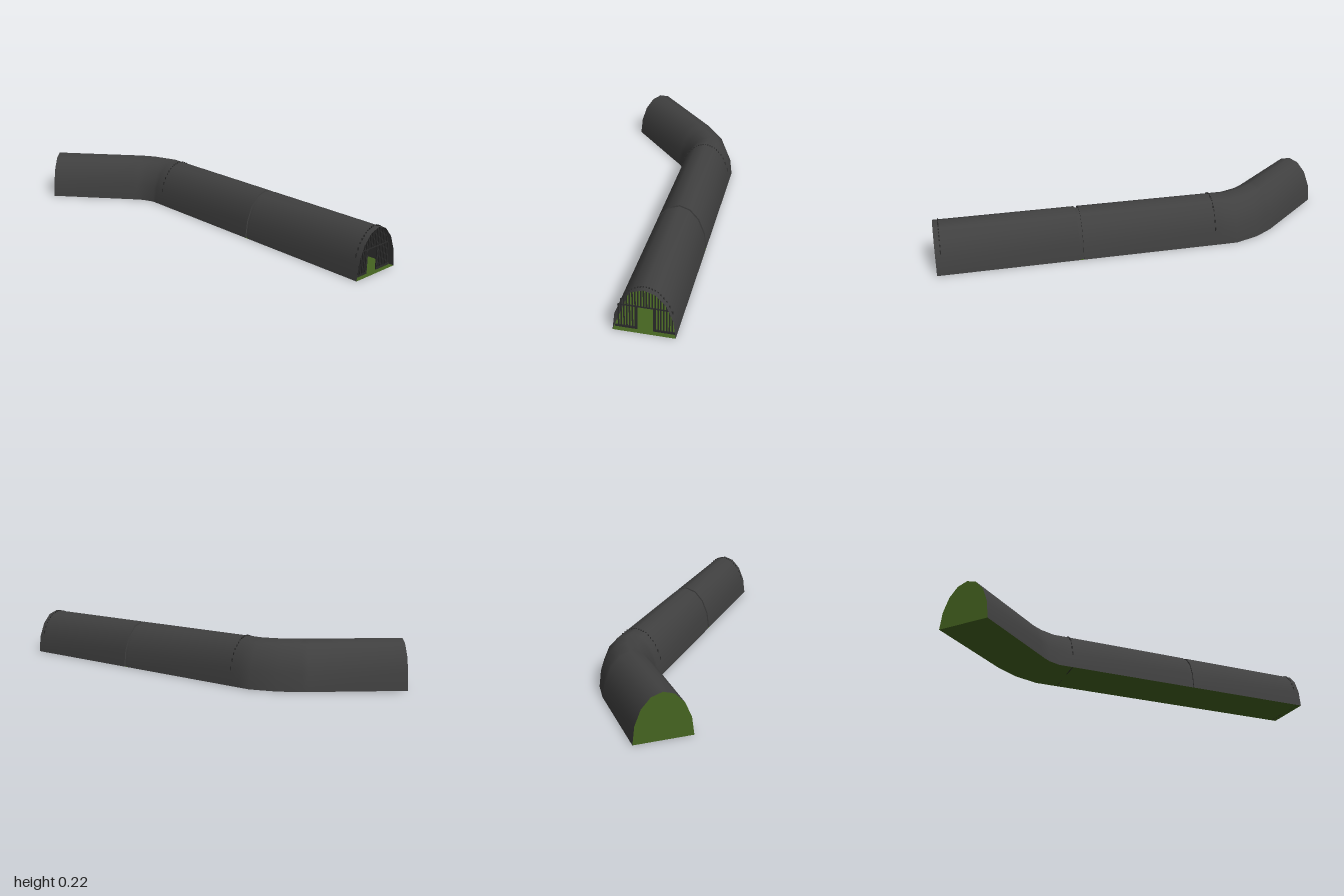
import * as THREE from 'three';

const H = 0.215, CX = 0.174, HALF = 0.131, SEG = 8;

// A cross-section is a pair of ground points: [xA, zA, xB, zB]
const straight = (z, inset = 0) => [CX - HALF + inset, z, CX + HALF - inset, z];
const bend = [
  straight(-0.37), [0.043, -0.39, 0.305, -0.43], [0.021, -0.445, 0.262, -0.55],
  [0, -0.475, 0.2, -0.645], [-0.02, -0.497, 0.182, -0.666], [-0.31, -0.83, -0.11, -1],
];

// Points of the half-ellipse arch standing on one cross-section
function arch([xa, za, xb, zb], height) {
  return Array.from({ length: SEG + 1 }, (_, i) => {
    const a = (i / SEG) * Math.PI, t = (1 - Math.cos(a)) / 2;
    return [xa + (xb - xa) * t, height * Math.sin(a), za + (zb - za) * t];
  });
}

// Skin a list of equally long point rows
function loft(rows) {
  const n = rows[0].length, index = [];
  for (let r = 0; r < rows.length - 1; r++) {
    for (let i = 0; i < n - 1; i++) {
      const a = r * n + i, b = a + 1, c = a + n, d = c + 1;
      index.push(a, b, c, b, d, c);
    }
  }
  const g = new THREE.BufferGeometry();
  g.setAttribute('position', new THREE.Float32BufferAttribute(rows.flat(2), 3));
  g.setIndex(index);
  g.computeVertexNormals();
  // Turn faces and normals outward, upward
  return g;
}

export function createModel() {
  const model = new THREE.Group();
  const shellMat = new THREE.MeshStandardMaterial({ color: 0x404040, side: THREE.DoubleSide });
  shellMat.name = 'tunnel grey';
  const greenMat = new THREE.MeshStandardMaterial({ color: 0x456420, side: THREE.DoubleSide });
  greenMat.name = 'ground green';
  const barMat = new THREE.MeshStandardMaterial({ color: 0x2c2c2c });
  barMat.name = 'bar grey';

  const add = (parent, name, geometry, material) => {
    const mesh = new THREE.Mesh(geometry, material);
    mesh.name = name;
    parent.add(mesh);
    return mesh;
  };

  // Arched shell in two lengths, with a recessed joint between them
  const shell = (name, sections, h = H) =>
    add(model, name, loft(sections.map((s) => arch(s, h))), shellMat);
  shell('frontShell', [straight(1), straight(0.345)]);
  shell('jointRing', [straight(0.345, 0.007), straight(0.328, 0.007)], H - 0.007);
  shell('rearShell', [straight(0.328), straight(-0.34), ...bend]);

  // Side walls of the joint groove
  for (const z of [0.345, 0.328]) {
    add(model, 'jointLip',
      loft([arch(straight(z), H), arch(straight(z, 0.007), H - 0.007)]), shellMat);
  }

  // Floor follows the whole path; the far end is walled off
  const floorRows = [straight(1), ...bend].map(([xa, za, xb, zb]) => [[xa, 0, za], [xb, 0, zb]]);
  add(model, 'floor', loft(floorRows), greenMat);
  const end = bend[bend.length - 1];
  add(model, 'endWall', loft([arch(end, H), arch(end, 0)]), greenMat);

  // Barred gates with a doorway in the middle
  function gate(name, z, reach, count) {
    const group = new THREE.Group();
    group.name = name;
    const box = (part, w, h, x, y) =>
      add(group, part, new THREE.BoxGeometry(w, h, 0.005), barMat).position.set(CX + x, y, z);
    for (let i = 0; i < count; i++) {
      const x = -reach + (2 * reach * i) / (count - 1);
      const top = H * Math.sqrt(1 - (x / HALF) ** 2) + 0.002;
      const bottom = Math.abs(x) < 0.034 ? 0.113 : 0;
      box('bar', 0.005, top - bottom, x, (top + bottom) / 2);
    }
    box('crossRail', 0.222, 0.004, 0, 0.113);
    for (const s of [-1, 1]) {
      box('sill', 0.09, 0.009, s * 0.081, 0.0045);
      box('doorPost', 0.005, 0.113, s * 0.035, 0.0565);
    }
    model.add(group);
  }
  gate('frontGate', 0.975, 0.112, 20);
  gate('rearGate', -0.32, 0.12, 21);

  return model;
}
